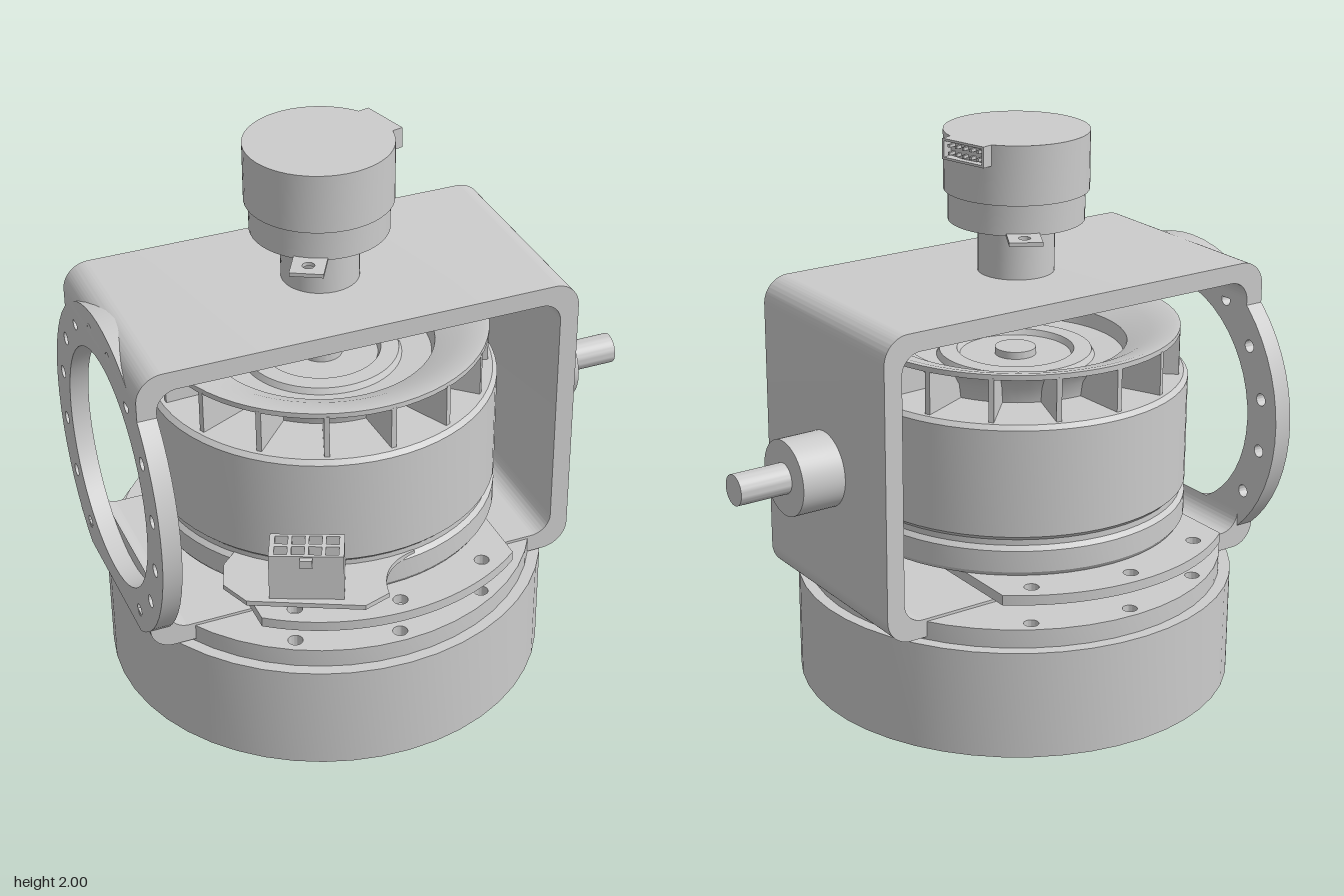
import * as THREE from 'three';
import { toCreasedNormals } from 'three/addons/utils/BufferGeometryUtils.js';

const TAU = Math.PI * 2;
const material = new THREE.MeshStandardMaterial({ color: 0xcccccc, side: THREE.DoubleSide });

function add(parent, name, geometry, x = 0, y = 0, z = 0) {
  const mesh = new THREE.Mesh(toCreasedNormals(geometry, 0.5), material);
  mesh.name = name;
  mesh.position.set(x, y, z);
  parent.add(mesh);
  return mesh;
}

function group(parent, name, x = 0, y = 0, z = 0) {
  const g = new THREE.Group();
  g.name = name;
  g.position.set(x, y, z);
  parent.add(g);
  return g;
}

const circle = (r, x = 0, y = 0) => new THREE.Shape().absarc(x, y, r, 0, TAU, false);
const polygon = (pts) => new THREE.Shape(pts.map((p) => new THREE.Vector2(...p)));
const rect = (w, h, x = 0, y = 0) => polygon([
  [x - w / 2, y - h / 2], [x + w / 2, y - h / 2], [x + w / 2, y + h / 2], [x - w / 2, y + h / 2]]);

// Cuts a bolt circle into a shape
function drill(shape, n, r, holeR, start = 0, cy = 0, keep = () => true) {
  for (let i = 0; i < n; i++) {
    const a = start + (i / n) * TAU;
    const x = Math.cos(a) * r, y = Math.sin(a) * r + cy;
    if (keep(x, y)) shape.holes.push(circle(holeR, x, y));
  }
  return shape;
}

function ring(outer, inner) {
  const s = circle(outer);
  s.holes.push(circle(inner));
  return s;
}

const extrude = (shape, depth) =>
  new THREE.ExtrudeGeometry(shape, { depth, bevelEnabled: false, curveSegments: 24 });

// Horizontal plate: the shape's y becomes z
const slab = (shape, y0, y1) => extrude(shape, y1 - y0).rotateX(Math.PI / 2).translate(0, y1, 0);

const drum = (r, y0, y1) => new THREE.CylinderGeometry(r, r, y1 - y0, 48).translate(0, (y0 + y1) / 2, 0);

const lathe = (pts) => new THREE.LatheGeometry(pts.map((p) => new THREE.Vector2(...p)), 64);

function buildBase(parent) {
  const base = group(parent, 'base');
  add(base, 'baseFoot', slab(drill(ring(0.56, 0.4), 12, 0.48, 0.018, 0.13), 0, 0.07));
  add(base, 'baseHousing', slab(drill(ring(0.76, 0.4), 12, 0.67, 0.025), 0.07, 0.45));
  add(base, 'baseTopStep', slab(drill(ring(0.72, 0.4), 12, 0.67, 0.025), 0.45, 0.515));
}

function buildFrame(parent) {
  const frame = group(parent, 'frame');
  const [xl, xr, yb, yt, t, r] = [-0.935, 0.59, 0.46, 1.515, 0.065, 0.09];
  const il = xl + t, ir = xr - t, ib = yb + t, it = yt - t, f = 0.07;
  // C-shaped bracket whose open side carries the mounting ring
  const s = new THREE.Shape();
  s.moveTo(xl, 0.54);
  s.absarc(xl + 0.08, yb + 0.08, 0.08, Math.PI, 1.5 * Math.PI, false);
  s.absarc(xr - r, yb + r, r, -Math.PI / 2, 0, false);
  s.absarc(xr - r, yt - r, r, 0, Math.PI / 2, false);
  s.absarc(xl + r, yt - r, r, Math.PI / 2, Math.PI, false);
  s.lineTo(xl, 1.36);
  s.lineTo(il, 1.36);
  s.absarc(il + f, it - f, f, Math.PI, Math.PI / 2, true);
  s.absarc(ir - f, it - f, f, Math.PI / 2, 0, true);
  s.absarc(ir - f, ib + f, f, 0, -Math.PI / 2, true);
  s.absarc(il + f, ib + f, f, 1.5 * Math.PI, Math.PI, true);
  s.lineTo(il, 0.54);
  s.closePath();
  add(frame, 'bracket', extrude(s, 0.76), 0, 0, -0.38);

  // Mounting ring, cut flat along the bottom
  const cy = 0.95, R = 0.56, a = Math.asin((yb - cy) / R);
  const plate = new THREE.Shape().absarc(0, cy, R, a, Math.PI - a, false);
  plate.closePath();
  plate.holes.push(circle(0.41, 0, cy));
  drill(plate, 16, 0.485, 0.022, TAU / 32, cy, (x, y) => y > 0.5);
  add(frame, 'mountingRing', extrude(plate, t).rotateY(-Math.PI / 2), il);

  // Side axle
  const axle = group(frame, 'axle', 0, 0.96, 0);
  axle.rotation.z = -Math.PI / 2;
  add(axle, 'axleCollar', drum(0.13, 0.58, 0.745));
  add(axle, 'axlePin', drum(0.053, 0.74, 0.93));
}

function buildMotor(parent) {
  const motor = group(parent, 'motor');
  add(motor, 'motorShaft', drum(0.065, 0.5, 0.59));
  add(motor, 'motorHub', drum(0.23, 0.58, 0.615));

  // Mounting flange with two straight sides
  const a = Math.acos(0.45 / 0.735);
  const flange = new THREE.Shape();
  flange.absarc(0, 0, 0.735, a, Math.PI - a, false);
  flange.absarc(0, 0, 0.735, Math.PI + a, TAU - a, false);
  flange.closePath();
  drill(flange, 12, 0.67, 0.025, 0, 0, (x, y) => Math.abs(y) > 0.5);
  add(motor, 'motorFlange', slab(flange, 0.61, 0.645));

  add(motor, 'motorBody', lathe([[0, 0.64], [0.58, 0.645], [0.59, 0.66], [0.59, 0.735], [0.575, 0.75],
    [0.575, 0.77], [0.59, 0.785], [0.59, 1.155], [0.575, 1.17], [0, 1.17]]));

  // Fan: flared funnel over radial blades
  const fan = group(motor, 'fan');
  add(fan, 'fanFunnel', lathe([[0.37, 1.17], [0.38, 1.22], [0.42, 1.275], [0.48, 1.305], [0.56, 1.315],
    [0.56, 1.333], [0.54, 1.333], [0.46, 1.31], [0.38, 1.27], [0.37, 1.22], [0.27, 1.215],
    [0.26, 1.235], [0.2, 1.235], [0.19, 1.215], [0.07, 1.215], [0.07, 1.24], [0, 1.24]]));
  const blade = polygon([[0.36, 1.165], [0.56, 1.165], [0.56, 1.32], [0.48, 1.308], [0.42, 1.28], [0.36, 1.2]]);
  for (let i = 0; i < 16; i++) {
    add(fan, 'fanBlade', extrude(blade, 0.018).translate(0, 0, -0.009)).rotation.y = ((i + 0.1) / 16) * TAU;
  }

  // Circuit board with power connector
  const board = new THREE.Shape();
  board.moveTo(-0.51, 0.4);
  board.lineTo(-0.55, 0.5);
  board.lineTo(-0.51, 0.61);
  board.lineTo(-0.17, 0.78);
  board.lineTo(-0.075, 0.75);
  board.quadraticCurveTo(-0.05, 0.6, 0.09, 0.575);
  board.lineTo(0, 0.4);
  board.lineTo(-0.4, 0.3);
  add(motor, 'circuitBoard', slab(board, 0.735, 0.752));

  const plug = group(motor, 'powerConnector', -0.305, 0, 0.62);
  plug.rotation.y = -0.42;
  const shell = rect(0.24, 0.12);
  for (let i = 0; i < 8; i++) {
    const x = ((i % 4) - 1.5) * 0.055, z = i < 4 ? -0.028 : 0.028;
    shell.holes.push(rect(0.042, 0.042, x, z));
    add(plug, 'connectorPin', new THREE.BoxGeometry(0.014, 0.17, 0.014), x, 0.795, z);
  }
  add(plug, 'connectorShell', slab(shell, 0.77, 0.92));
  add(plug, 'connectorFloor', new THREE.BoxGeometry(0.24, 0.03, 0.12), 0, 0.76, 0);
  add(plug, 'connectorLatch', new THREE.BoxGeometry(0.04, 0.03, 0.02), 0, 0.9, 0.068);
}

function buildEncoder(parent) {
  const encoder = group(parent, 'encoder');
  add(encoder, 'encoderPost', drum(0.13, 1.5, 1.7));
  add(encoder, 'encoderLowerCase', drum(0.23, 1.695, 1.8));
  add(encoder, 'encoderUpperCase', drum(0.245, 1.8, 2));

  // Two opposite screw tabs
  const tab = rect(0.13, 0.11, 0.265, 0);
  tab.holes.push(circle(0.02, 0.278, 0));
  for (const angle of [1.06, 1.06 + Math.PI]) {
    add(encoder, 'encoderTab', slab(tab, 1.69, 1.703)).rotation.y = angle;
  }

  // Signal socket facing outwards
  const socket = group(encoder, 'signalSocket', 0, 1.965, 0);
  socket.rotation.y = Math.PI / 2 + 0.25;
  const rim = rect(0.18, 0.07);
  rim.holes.push(rect(0.164, 0.054));
  add(socket, 'socketRim', extrude(rim, 0.05), 0, 0, 0.217);
  add(socket, 'socketBack', new THREE.BoxGeometry(0.18, 0.07, 0.03), 0, 0, 0.218);
  for (let i = 0; i < 10; i++) {
    add(socket, 'socketPin', new THREE.BoxGeometry(0.01, 0.01, 0.04),
      ((i % 5) - 2) * 0.031, i < 5 ? -0.013 : 0.013, 0.245);
  }
}

export function createModel() {
  const model = new THREE.Group();
  model.name = 'motorGimbal';
  const body = group(model, 'assembly', 0, 0, -0.01);
  buildFrame(body);
  // Everything turning about the vertical axis
  const axis = group(body, 'verticalAxis', -0.17, 0, 0);
  buildBase(axis);
  buildMotor(axis);
  buildEncoder(axis);
  return model;
}
